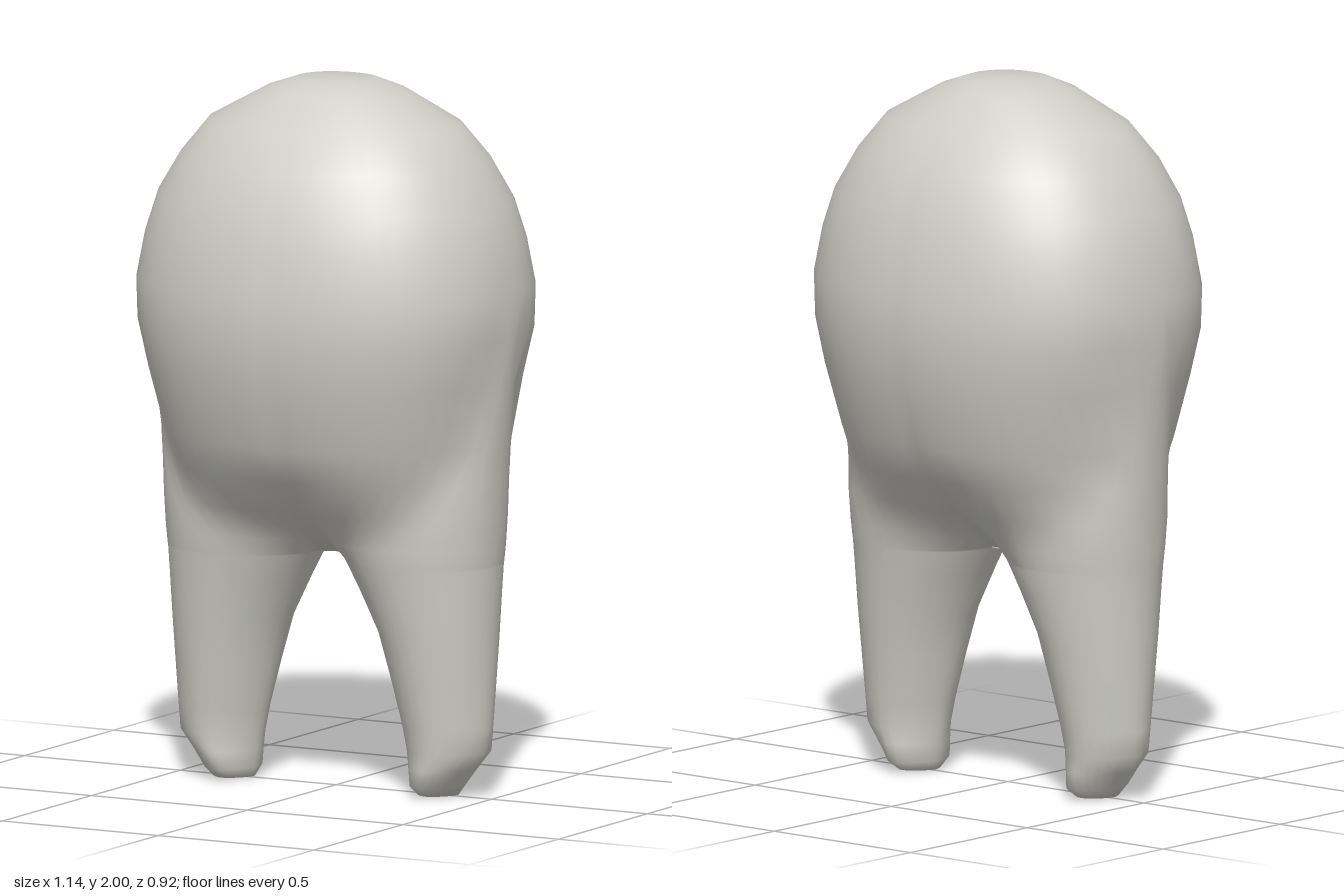
import * as THREE from 'three';
import { mergeVertices } from 'three/addons/utils/BufferGeometryUtils.js';

// Levels from root tip to crown: y, root inner x, outer x, root depth, belly width, belly depth
const LEVELS = [
  [0, 0.325, 0.325, 0, 1, 0],
  [0.003, 0.265, 0.39, 0.07, 1, 0],
  [0.03, 0.252, 0.405, 0.113, 1, 0],
  [0.08, 0.245, 0.445, 0.118, 1, 0],
  [0.13, 0.238, 0.488, 0.122, 1, 0],
  [0.2, 0.225, 0.492, 0.13, 1, 0],
  [0.33, 0.193, 0.498, 0.148, 1, 0],
  [0.46, 0.158, 0.503, 0.167, 1, 0],
  [0.58, 0.1, 0.507, 0.185, 1, 0],
  [0.655, 0.06, 0.51, 0.197, 1, 0],
  [0.66, 0.057, 0.511, 0.198, 1, 0],
  [0.71, 0.025, 0.515, 0.207, 0.22, 0.09],
  [0.8, -0.06, 0.52, 0.222, 0.35, 0.2],
  [0.9, -0.19, 0.527, 0.23, 0.42, 0.29],
  [1.0, -0.3, 0.535, 0.235, 0.47, 0.357],
  [1.18, -0.48, 0.553, 0.235, 0.53, 0.416],
  [1.31, -0.56, 0.57, 0.2, 0.565, 0.447],
  [1.43, -0.57, 0.57, 0.15, 0.57, 0.455],
  [1.56, -0.545, 0.545, 0.1, 0.545, 0.437],
  [1.67, -0.51, 0.51, 0.05, 0.51, 0.408],
  [1.78, -0.445, 0.445, 0, 0.445, 0.358],
  [1.88, -0.365, 0.365, 0, 0.365, 0.28],
  [1.97, -0.2, 0.2, 0, 0.2, 0.17],
  [1.998, -0.12, 0.12, 0, 0.12, 0.11],
  [2, 0, 0, 0, 1, 0],
];
const ARC = 14, CROTCH = 0.66;

// Height of a superellipse at u, from -1 to 1
const bulge = (u, power) => Math.max(0, 1 - Math.abs(u) ** power) ** (1 / power);

// Half cross-section from the front, round the outside, to the back
function halfRing([y, inner, outer, rootZ, bellyX, bellyZ]) {
  const c = (inner + outer) / 2, r = (outer - inner) / 2;
  const start = r > 0 ? Math.acos(Math.min(1, c / r)) : 0;
  const rootPower = 1.6 + 0.6 * Math.min(1, y / 0.8);
  // Above the crotch a first point on the middle plane closes the web between the roots
  const xs = [y >= CROTCH ? 0 : inner];
  for (let j = 0; j <= ARC; j++) xs.push(c - r * Math.cos(start + (Math.PI - start) * j / ARC));
  const front = xs.map((x, j) => {
    const root = r > 0 ? rootZ * bulge((x - c) / r, rootPower) : 0;
    const belly = bellyZ * bulge(x / bellyX, 2.2);
    return [x, y, j === ARC + 1 ? 0 : Math.cbrt(root ** 3 + belly ** 3)];
  });
  const back = front.slice(0, -1).reverse().map(([x, h, z]) => [x, h, -z]);
  return front.concat(back);
}

function toothGeometry() {
  const rings = LEVELS.map(halfRing), n = rings[0].length;
  const positions = [], index = [];
  // Both mirrored halves, welded along the middle
  for (const side of [1, -1]) {
    const base = positions.length / 3;
    for (const ring of rings) for (const [x, y, z] of ring) positions.push(side * x, y, z);
    for (let i = 0; i < rings.length - 1; i++) {
      for (let j = 0; j < n - 1; j++) {
        const a = base + i * n + j, b = a + 1, d = a + n, e = d + 1;
        if (side > 0) index.push(a, b, e, a, e, d);
        else index.push(a, e, b, a, d, e);
      }
    }
  }
  const g = new THREE.BufferGeometry();
  g.setAttribute('position', new THREE.Float32BufferAttribute(positions, 3));
  g.setIndex(index);
  const welded = mergeVertices(g, 1e-4);
  welded.computeVertexNormals();
  return welded;
}

export function createModel() {
  const group = new THREE.Group();
  group.name = 'tooth';
  const enamel = new THREE.MeshStandardMaterial({ color: 0xcfcec7 });
  enamel.name = 'enamel';
  const body = new THREE.Mesh(toothGeometry(), enamel);
  body.name = 'crownAndRoots';
  group.add(body);
  return group;
}
